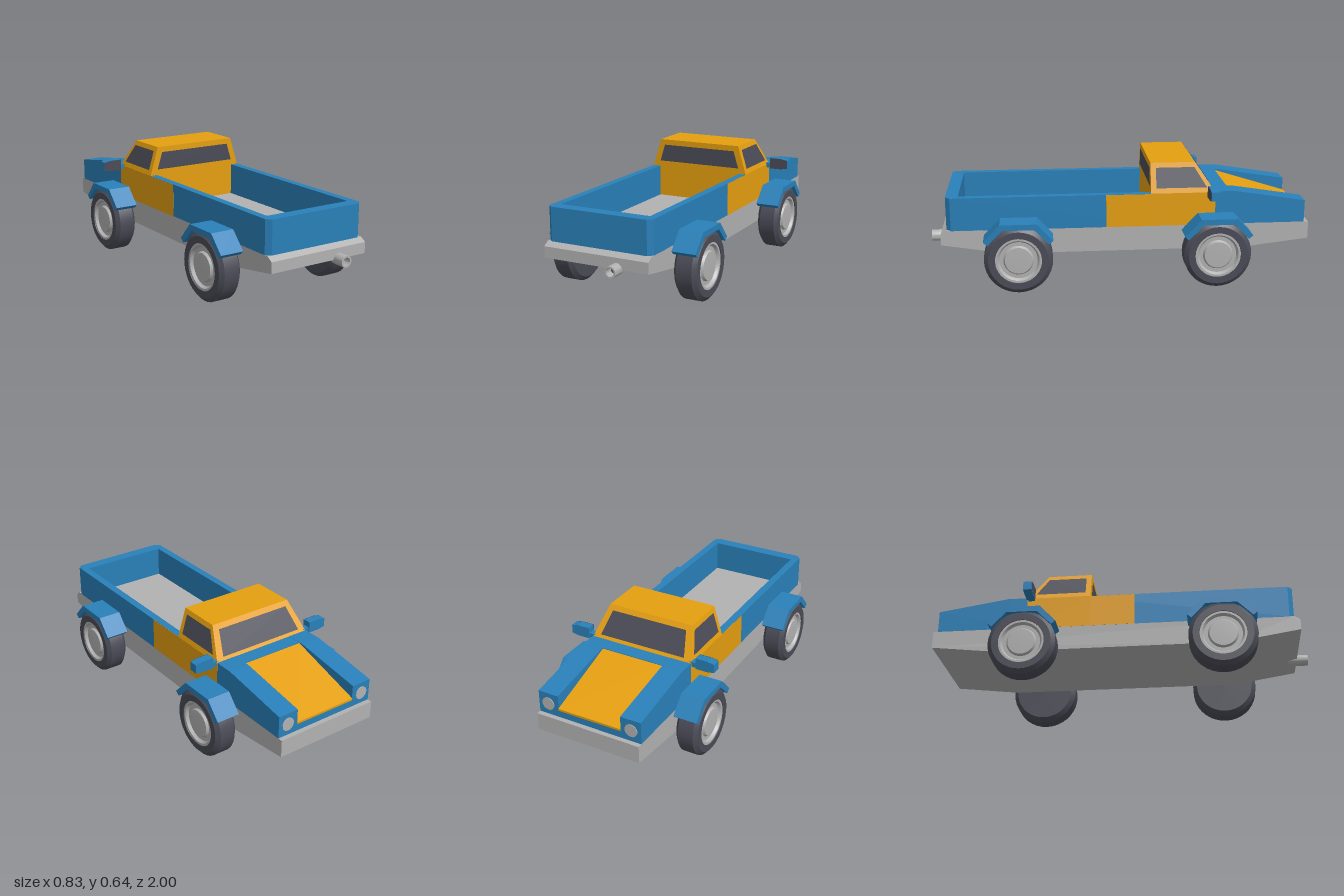
import * as THREE from 'three';
import { toCreasedNormals } from 'three/addons/utils/BufferGeometryUtils.js';

const mat = (color, extra = {}) => new THREE.MeshStandardMaterial({ color, ...extra });
const blue = mat(0x2980b9);
const orange = mat(0xe59f10);
const dark = mat(0x4b4b57);
const glass = mat(0x4b4b57, { side: THREE.DoubleSide });
const grey = mat(0xb2b2b2);

export function createModel() {
  const truck = new THREE.Group();
  truck.name = 'pickupTruck';

  const add = (name, geometry, material, parent = truck) => {
    const mesh = new THREE.Mesh(geometry, material);
    mesh.name = name;
    parent.add(mesh);
    return mesh;
  };
  const box = (x0, x1, y0, y1, z0, z1) =>
    new THREE.BoxGeometry(x1 - x0, y1 - y0, z1 - z0)
      .translate((x0 + x1) / 2, (y0 + y1) / 2, (z0 + z1) / 2);
  // Side profile of [z, y] points, extruded across x
  const prism = (profile, x0, x1) => {
    const shape = new THREE.Shape(profile.map(([z, y]) => new THREE.Vector2(z, y)));
    return new THREE.ExtrudeGeometry(shape, { depth: x1 - x0, bevelEnabled: false })
      .rotateY(-Math.PI / 2).translate(x1, 0, 0);
  };
  // Plan outline of [x, z] points, extruded downward from yTop
  const slab = (outline, hole, yTop, height) => {
    const shape = new THREE.Shape(outline.map(([x, z]) => new THREE.Vector2(x, z)));
    if (hole) shape.holes.push(new THREE.Path(hole.map(([x, z]) => new THREE.Vector2(x, z))));
    return new THREE.ExtrudeGeometry(shape, { depth: height, bevelEnabled: false })
      .rotateX(Math.PI / 2).translate(0, yTop, 0);
  };
  // Flat four-cornered pane
  const pane = (corners) => {
    const g = new THREE.BufferGeometry();
    g.setAttribute('position', new THREE.Float32BufferAttribute(corners.flat(), 3));
    g.setIndex([0, 1, 2, 0, 2, 3]);
    g.computeVertexNormals();
    return g;
  };
  const lathe = (points, segments = 36) => toCreasedNormals(
    new THREE.LatheGeometry(points.map(([r, h]) => new THREE.Vector2(r, h)), segments), 0.5);

  const W = 0.287; // half width of the body

  // Chassis with sloping underside at both ends
  add('chassis', prism([[0.91, 0.312], [-1, 0.312], [-1, 0.22], [-0.65, 0.18],
    [0.6, 0.18], [0.94, 0.235], [0.94, 0.292]], -W, W), grey);

  // Load bed
  const c = 0.024;
  add('bedWalls', slab(
    [[-W, -0.2], [W, -0.2], [W, 0.91 - c], [W - c, 0.91], [c - W, 0.91], [-W, 0.91 - c]],
    [[-0.246, -0.16], [-0.246, 0.845], [0.246, 0.845], [0.246, -0.16]], 0.485, 0.175), blue);
  add('bedFloor', box(-0.247, 0.247, 0.308, 0.315, -0.16, 0.846), grey);

  // Cab: straight lower body, tapered upper part
  add('cabBase', box(-W - 0.001, W + 0.001, 0.31, 0.486, -0.495, -0.155), orange);
  const halfWidth = (y) => W - 0.047 * (y - 0.486) / 0.154;
  const screenZ = (y) => -0.495 + 0.105 * (y - 0.486) / 0.154;
  const cab = prism([[-0.155, 0.486], [-0.155, 0.64], [-0.39, 0.64], [-0.495, 0.486]], -1, 1);
  const p = cab.attributes.position;
  for (let i = 0; i < p.count; i++) p.setX(i, p.getX(i) * halfWidth(p.getY(i)));
  cab.computeVertexNormals();
  add('cabTop', cab, orange);

  // Windows
  const e = 0.002;
  add('rearWindow', pane([[-0.243, 0.516, -0.155 + e], [0.243, 0.516, -0.155 + e],
    [0.214, 0.61, -0.155 + e], [-0.214, 0.61, -0.155 + e]]), glass);
  add('windscreen', pane([[0.243, 0.503], [-0.243, 0.503], [-0.214, 0.615], [0.214, 0.615]]
    .map(([x, y]) => [x, y + e, screenZ(y) - e])), glass);

  // Front body: low nose between two raised wings, with a sloping bonnet panel
  add('cowl', box(-0.176, 0.176, 0.31, 0.489, -0.575, -0.495), blue);
  add('nose', prism([[-0.57, 0.31], [-0.57, 0.482], [-0.975, 0.355], [-0.975, 0.31]],
    -0.176, 0.176), blue);
  add('bonnet', prism([[-0.573, 0.47], [-0.573, 0.487], [-0.978, 0.361], [-0.978, 0.35]],
    -0.175, 0.175), orange);

  // Wheel parts, axis along x with the outer face at +x
  const tyre = lathe([[0, -0.061], [0.155, -0.061], [0.177, -0.042], [0.177, 0.042],
    [0.155, 0.061], [0.12, 0.061], [0.118, 0.04]]).rotateZ(-Math.PI / 2);
  const rim = lathe([[0.12, 0.057], [0.108, 0.057], [0.098, 0.042], [0.078, 0.042],
    [0.07, 0.054], [0, 0.056]]).rotateZ(-Math.PI / 2);

  for (const s of [1, -1]) {
    const span = (a, b) => (s > 0 ? [a, b] : [-b, -a]);

    add('doorPanel', box(...span(W - 0.01, W + 0.001), 0.31, 0.484, -0.16, 0.08), orange);
    add('sideWindow', pane([[0.512, -0.183], [0.615, -0.183], [0.615, -0.385], [0.512, -0.45]]
      .map(([y, z]) => [s * (halfWidth(y) + e), y, z])), glass);
    add('frontWing', prism([[-0.495, 0.31], [-0.495, 0.49], [-0.6, 0.49], [-0.975, 0.43],
      [-0.975, 0.31]], ...span(0.175, W)), blue);
    add('headlight', new THREE.CylinderGeometry(0.034, 0.034, 0.008, 24)
      .rotateX(Math.PI / 2).translate(s * 0.233, 0.372, -0.975), grey);

    // Wing mirror: blue shell, dark glass facing the tail
    const mirror = new THREE.Group();
    mirror.name = 'wingMirror';
    truck.add(mirror);
    add('mirrorArm', box(...span(0.275, 0.315), 0.47, 0.496, -0.49, -0.455), blue, mirror);
    const outline = [[0.312, 0.467], [0.378, 0.467], [0.416, 0.474], [0.416, 0.52],
      [0.378, 0.527], [0.312, 0.527]].map(([x, y]) => new THREE.Vector2(s * x, y));
    const face = new THREE.Shape(outline);
    add('mirrorShell', new THREE.ExtrudeGeometry(face, { depth: 0.045, bevelEnabled: false })
      .translate(0, 0, -0.495), blue, mirror);
    add('mirrorGlass', new THREE.ShapeGeometry(face).translate(0, 0, -0.448), glass, mirror);

    // Wheels and angular arches
    for (const [label, z] of [['rear', 0.54], ['front', -0.495]]) {
      const wheel = new THREE.Group();
      wheel.name = label + 'Wheel';
      wheel.position.set(s * 0.351, 0.179, z);
      if (s < 0) wheel.rotation.y = Math.PI;
      add('tyre', tyre, dark, wheel);
      add('rim', rim, grey, wheel);
      truck.add(wheel);

      const arch = [[-0.18, 0.285], [-0.098, 0.375], [0.092, 0.375], [0.177, 0.285],
        [0.156, 0.266], [0.078, 0.345], [-0.084, 0.345], [-0.158, 0.266]];
      add(label + 'WheelArch', prism(arch.map(([dz, y]) => [z + dz, y]),
        ...span(0.284, 0.415)), blue);
    }
  }

  // Exhaust: hollow pipe with a dark bore
  const exhaust = new THREE.Group();
  exhaust.name = 'exhaust';
  exhaust.position.set(0.117, 0.237, 0);
  truck.add(exhaust);
  add('pipe', lathe([[0.022, 0.89], [0.03, 0.93], [0.03, 1], [0.021, 1], [0.021, 0.95]], 24)
    .rotateX(Math.PI / 2), grey, exhaust);
  add('bore', new THREE.CircleGeometry(0.0215, 24).translate(0, 0, 0.955), dark, exhaust);

  return truck;
}
